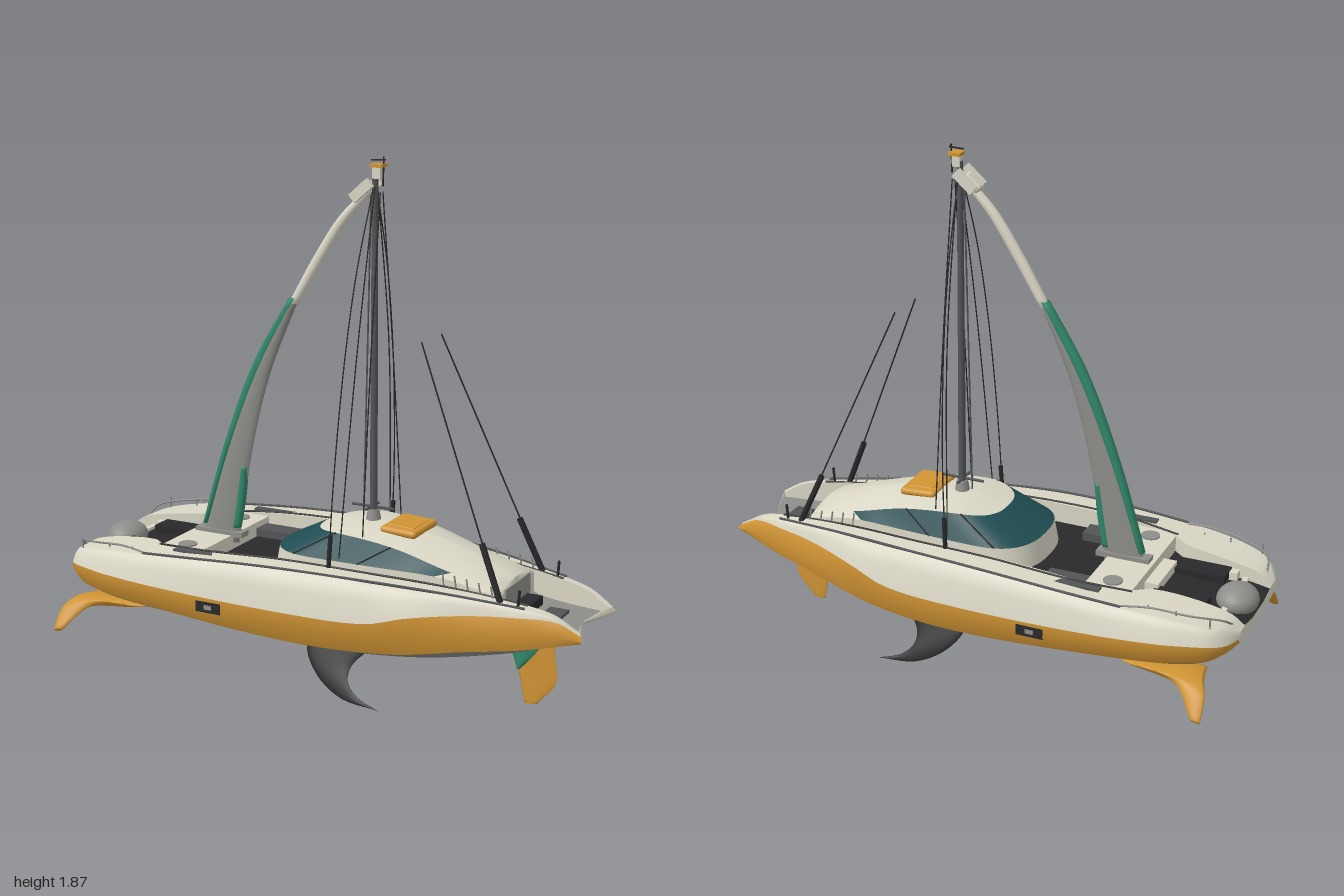
import * as THREE from 'three';
import { RoundedBoxGeometry } from 'three/addons/geometries/RoundedBoxGeometry.js';

const V = (x, y, z) => new THREE.Vector3(x, y, z);
const mix = (a, b, t) => a + (b - a) * t;

// smooth curve through flat (x, value) pairs
const curve = (...p) => (x) => {
  const n = p.length / 2, X = (i) => p[2 * i], Y = (i) => p[2 * i + 1];
  let i = 0;
  while (i < n - 2 && x > X(i + 1)) i++;
  const slope = (k) => {
    const a = Math.max(k - 1, 0), b = Math.min(k + 1, n - 1);
    return (Y(b) - Y(a)) / (X(b) - X(a));
  };
  const h = X(i + 1) - X(i), t = THREE.MathUtils.clamp((x - X(i)) / h, 0, 1), s = 1 - t;
  return Y(i) * s * s * (1 + 2 * t) + Y(i + 1) * t * t * (3 - 2 * t)
    + h * (slope(i) * t * s * s - slope(i + 1) * t * t * s);
};

// smooth sheet through rows of points
function sheet(rows) {
  const m = rows[0].length, index = [];
  for (let i = 0; i < rows.length - 1; i++) for (let j = 0; j < m - 1; j++) {
    const a = i * m + j, b = a + m;
    index.push(a, b, a + 1, b, b + 1, a + 1);
  }
  const g = new THREE.BufferGeometry().setFromPoints(rows.flat());
  g.setIndex(index);
  g.computeVertexNormals();
  return g;
}

// oval-section blade between a leading and a trailing edge, thinning towards the end
function blade(lead, trail, thick, taper = 0, n = 20) {
  const A = new THREE.CatmullRomCurve3(lead.map((p) => V(...p)));
  const B = new THREE.CatmullRomCurve3(trail.map((p) => V(...p)));
  const rows = [];
  for (let i = 0; i <= n; i++) {
    const a = A.getPoint(i / n), b = B.getPoint(i / n), row = [];
    const c = a.clone().lerp(b, 0.5), u = b.clone().sub(c);
    for (let k = 0; k <= 16; k++) {
      const q = k / 16 * Math.PI * 2;
      row.push(c.clone().addScaledVector(u, Math.cos(q)).addScaledVector(thick, Math.sin(q) * (1 - taper * i / n)));
    }
    rows.push(row);
  }
  rows.unshift(rows[0].map(() => A.getPoint(0).lerp(B.getPoint(0), 0.5)));
  rows.push(rows[n].map(() => A.getPoint(1).lerp(B.getPoint(1), 0.5)));
  return sheet(rows);
}

export function createModel() {
  const boat = new THREE.Group();
  const mat = {};
  for (const [name, color] of Object.entries({ cream: 0xd9d6c5, orange: 0xd09434, black: 0x29292b,
    grey: 0x8d8d89, glassTeal: 0x1f4d52, green: 0x31866a, darkGrey: 0x525456 })) {
    mat[name] = new THREE.MeshStandardMaterial({ color, side: THREE.DoubleSide });
    mat[name].name = name;
  }
  const add = (name, geo, m, x = 0, y = 0, z = 0) => {
    const mesh = new THREE.Mesh(geo, mat[m]);
    mesh.name = name;
    mesh.position.set(x, y, z);
    boat.add(mesh);
    return mesh;
  };
  const box = (name, m, w, h, d, x, y, z) => add(name, new THREE.BoxGeometry(w, h, d), m, x, y, z);
  const rod = (name, m, r, ...pts) => add(name, new THREE.TubeGeometry(
    new THREE.CatmullRomCurve3(pts.map((p) => V(...p))), pts.length > 2 ? 24 : 1, r, 6), m);
  const ramp = THREE.MathUtils.smoothstep;

  // hull lines: half widths and heights along the length
  const beam = curve(-1, .22, -.98, .28, -.95, .32, -.9, .35, -.75, .39, -.5, .41, -.2, .41, .1, .39, .4, .335, .7, .255, 1, .175);
  const rail = curve(-1, .2, -.95, .28, -.9, .31, -.75, .345, -.4, .365, 0, .345, .4, .28, .7, .215, 1, .158);
  const well = curve(-1, .16, -.68, .18, -.58, .25, -.2, .252, .1, .24, .5, .186, .7, .165, 1, .14);
  const keel = curve(-1, .31, -.95, .26, -.87, .205, -.5, .175, 0, .155, .3, .16, .5, .185, .7, .228, .85, .268, 1, .318);
  const chine = curve(-1, .32, -.87, .255, -.5, .232, 0, .202, .4, .207, .7, .248, 1, .32);
  const bandLow = curve(-1, .325, -.9, .285, -.5, .257, 0, .225, .35, .225, .6, .258, .8, .283, 1, .322);
  const bandTop = curve(-1, .345, -.9, .357, -.5, .35, 0, .338, .28, .335, .42, .368, .6, .388, .8, .395, .92, .387, 1, .348);
  const sheer = curve(-1, .365, -.95, .40, -.8, .43, -.6, .448, -.2, .472, .1, .472, .4, .455, .6, .443, .8, .42, .92, .397, 1, .352);
  const floor = curve(-1, .35, -.9, .365, -.6, .39, .4, .41, .62, .40, .7, .352, 1, .335);

  const section = (x, s) => {
    const b = beam(x), d = rail(x), c = well(x), k = keel(x), g = chine(x), lo = bandLow(x), t = bandTop(x), y = sheer(x);
    const tuck = .5 * ramp(x, .35, .7) + .4 * ramp(x, .75, .97);
    return [[0, k], [.3 * b, mix(k, g, .1)], [.58 * b, mix(k, g, .4)], [.8 * b, g], [.93 * b, lo], [b, mix(lo, t, .55)], [mix(b, d, tuck), t],
      [mix(b, d, mix(tuck, 1, .35)), mix(t, y, .6)], [mix(b, d, mix(tuck, 1, .7)), mix(t, y, .9)], [d, y], [c, y + .004], [c, floor(x)], [0, floor(x)]]
      .map(([z, h]) => V(x - .07 * (1 - Math.min(1, z / b) ** 2) * ramp(x, .75, 1), h, z * s));
  };
  const N = 60, xs = Array.from({ length: N + 1 }, (_, i) => -Math.cos(Math.PI * i / N));
  const split = xs.findIndex((x) => x > .66);
  for (const s of [1, -1]) {
    const rows = xs.map((x) => section(x, s));
    const strip = (name, m, a, b, from = 0, to = N) =>
      add(name, sheet(rows.slice(from, to + 1).map((r) => r.slice(a, b + 1))), m);
    strip('hullBottom', 'black', 0, 3, 0, N - 11);
    strip('bowBottom', 'cream', 0, 3, N - 11, N);
    strip('chineStrip', 'grey', 3, 4);
    strip('hullBand', 'orange', 4, 6);
    strip('topside', 'cream', 6, 9);
    strip('sideDeck', 'cream', 9, 10);
    strip('wellWall', 'cream', 10, 11);
    strip('cockpitFloor', 'black', 11, 12, 0, split);
    strip('bowFloor', 'grey', 11, 12, split, N);
    for (const i of [0, N]) {
      add('hullEnd', sheet([rows[i], rows[i].map(() => V(rows[i][0].x, .335, 0))]), 'cream');
    }
    // gunwale track and hull window
    const at = (f, dy) => [-.62, -.4, -.1, .2, .5, .8].map((x) => [x, sheer(x) + dy, s * f(x)]);
    rod('gunwaleTrack', 'darkGrey', .005, ...at((x) => rail(x) - .004, .003));
    rod('innerTrack', 'black', .004, ...at((x) => mix(rail(x), well(x), .9), .006));
    box('hullWindow', 'black', .1, .04, .008, -.31, .312, s * .409);
    box('hullWindowPane', 'grey', .03, .016, .009, -.31, .312, s * .411);
  }

  // cabin: rings from deck to roof ridge
  const outline = (nose, w, w1, end, y) => {
    const pts = [];
    for (let i = 0; i <= 14; i++) {
      const q = i / 14 * Math.PI / 2;
      pts.push([nose + .2 * (1 - Math.cos(q) ** .8), w * Math.sin(q) ** .75]);
    }
    for (let i = 1; i <= 12; i++) pts.push([mix(nose + .2, end, i / 12), mix(w, w1, (i / 12) ** 1.6)]);
    pts.push([end, 0]);
    return pts.map(([x, z]) => V(x, y(x), z));
  };
  const sill = curve(-.2, .487, .3, .485, .5, .478, .69, .435);
  const eave = curve(-.05, .563, .1, .573, .3, .55, .48, .5, .69, .445);
  const ridge = curve(-.05, .565, .1, .592, .3, .583, .5, .535, .69, .465);
  const rings = [outline(-.225, .22, .165, .69, () => .345), outline(-.2, .21, .16, .69, sill), outline(-.05, .165, .135, .688, eave)];
  for (const f of [.7, .35, 0]) {
    rings.push(rings[2].map((p) => V(p.x, mix(ridge(p.x), eave(p.x), f * f), p.z * f)));
  }
  for (const s of [1, -1]) {
    const R = rings.map((r) => r.map((p) => V(p.x, p.y, p.z * s)));
    const cut = 22;
    add('cabinWall', sheet(R.slice(0, 2)), 'cream');
    add('cabinWindows', sheet(R.slice(1, 3).map((r) => r.slice(0, cut + 1))), 'glassTeal');
    add('cabinShoulder', sheet(R.slice(1, 3).map((r) => r.slice(cut))), 'cream');
    add('cabinRoof', sheet(R.slice(2)), 'cream');
    for (const i of [11, 17]) rod('windowPillar', 'black', .003, R[1][i].toArray(), R[2][i].toArray());
  }
  box('cabinEndPanel', 'grey', .006, .075, .22, .694, .41, 0);

  // roof hatch
  add('roofHatch', new RoundedBoxGeometry(.14, .028, .19, 4, .0139), 'orange', .275, .585, 0).rotation.z = -.05;
  add('hatchLid', new RoundedBoxGeometry(.1, .01, .13, 2, .0045), 'orange', .275, .597, 0).rotation.z = -.05;

  // mast, spreaders and masthead
  add('mast', new THREE.CylinderGeometry(.011, .014, 1.25, 12), 'darkGrey', .135, 1.2, 0);
  add('mastCollar', new THREE.CylinderGeometry(.02, .03, .05, 12), 'grey', .135, .605, 0);
  rod('spreaderLong', 'darkGrey', .005, [.05, .638, 0], [.215, .638, 0]);
  rod('spreaderCross', 'darkGrey', .005, [.13, .638, -.05], [.13, .638, .05]);
  box('mastCap', 'cream', .03, .05, .025, .145, 1.83, 0);
  rod('antenna', 'black', .003, [.165, 1.78, 0], [.168, 1.88, 0]);
  rod('windVane', 'black', .003, [.12, 1.868, 0], [.175, 1.87, 0]);
  box('mastLamp', 'orange', .045, .012, .045, .148, 1.85, 0);
  add('mastheadShell', new RoundedBoxGeometry(.075, .032, .05, 3, .012), 'cream', .085, 1.755, 0).rotation.z = .72;
  for (const s of [1, -1]) {
    box('mastheadCheek', 'cream', .09, .036, .018, .1, 1.765, s * .036).rotation.z = .72;
    // shrouds with turnbuckles, and forward stays
    rod('outerShroud', 'black', .0025, [.135, 1.77, s * .015], [.125, 1.5, s * .115], [.115, 1.2, s * .185], [.1, .8, s * .235], [.085, .46, s * .25]);
    rod('middleShroud', 'black', .0025, [.14, 1.78, s * .01], [.13, 1.2, s * .125], [.1, .46, s * .205]);
    rod('innerShroud', 'black', .0025, [.16, 1.76, s * .01], [.165, 1.2, s * .085], [.17, .5, s * .16]);
    rod('shroudTurnbuckle', 'black', .008, [.085, .46, s * .25], [.092, .59, s * .245]);
    rod('forwardStay', 'black', .0028, [.355, 1.27, s * .08], [.71, .43, s * .19]);
    rod('stayTurnbuckle', 'black', .011, [.628, .62, s * .165], [.71, .43, s * .19]);
  }
  rod('halyard', 'darkGrey', .003, [.12, 1.75, 0], [.095, .6, 0]);

  // curved wing arm rising from the cockpit to the masthead
  add('wingArm', blade([[-.585, .42, 0], [-.475, .8, 0], [-.345, 1.12, 0], [-.2, 1.36, 0]],
    [[-.425, .42, 0], [-.365, .78, 0], [-.285, 1.08, 0], [-.168, 1.36, 0]], V(0, 0, .018)), 'grey');
  add('wingArmTop', blade([[-.205, 1.345, 0], [-.1, 1.525, 0], [0, 1.67, 0], [.12, 1.785, 0]],
    [[-.165, 1.345, 0], [-.06, 1.515, 0], [.03, 1.65, 0], [.13, 1.76, 0]], V(0, 0, .017)), 'cream');
  add('wingLeadingEdge', blade([[-.577, .48, 0], [-.479, .8, 0], [-.35, 1.12, 0], [-.203, 1.365, 0]],
    [[-.555, .48, 0], [-.444, .8, 0], [-.302, 1.12, 0], [-.165, 1.365, 0]], V(0, 0, .019)), 'green');
  add('wingTrailingPatch', blade([[-.45, .48, 0], [-.43, .6, 0], [-.41, .72, 0]],
    [[-.416, .48, 0], [-.394, .6, 0], [-.382, .72, 0]], V(0, 0, .017)), 'green');

  // rudder, keel fins and aft foils
  add('rudder', blade([[.66, .29, 0], [.68, .2, 0], [.705, .12, 0], [.73, .006, 0]],
    [[.83, .29, 0], [.84, .2, 0], [.846, .1, 0], [.775, .008, 0]], V(0, 0, .01), .6), 'orange');
  add('rudderRoot', blade([[.655, .29, 0], [.674, .2, 0], [.7, .13, 0]],
    [[.845, .29, 0], [.795, .215, 0], [.712, .13, 0]], V(0, 0, .013)), 'green');
  for (const s of [1, -1]) {
    add('keelFin', blade([[-.01, .21, s * .24], [.02, .14, s * .275], [.085, .075, s * .305], [.18, .03, s * .325], [.318, .018, s * .333]],
      [[.26, .21, s * .24], [.192, .14, s * .275], [.19, .09, s * .302], [.235, .047, s * .32], [.324, .016, s * .333]],
      V(0, .003, s * .011), .8), 'black');
    add('aftFoil', blade([[-.9, .225, s * .24], [-.925, .235, s * .35], [-.946, .205, s * .405], [-.95, .135, s * .458]],
      [[-.6, .235, s * .26], [-.63, .242, s * .345], [-.83, .225, s * .385], [-.915, .14, s * .455]], V(0, .018, s * .012), .6), 'orange');
  }

  // cockpit fittings
  add('sternDome', new THREE.SphereGeometry(.075, 24, 12).scale(1, .75, 1.15), 'grey', -.925, .375, 0);
  box('cockpitBridge', 'cream', .17, .06, .51, -.53, .42, 0);
  box('wingSocket', 'grey', .2, .02, .05, -.5, .455, 0);
  box('aftSill', 'cream', .02, .014, .34, -.905, .37, 0);
  box('aftBench', 'cream', .05, .04, .2, -.64, .4, 0);
  box('bowLocker', 'black', .06, .04, .17, .725, .358, 0);
  box('bowHatch', 'darkGrey', .07, .012, .11, .83, .348, 0);
  for (const s of [1, -1]) {
    add('bridgePad', new THREE.CylinderGeometry(.035, .035, .008, 16), 'grey', -.53, .451, s * .19);
    box('cockpitSeat', 'darkGrey', .16, .03, .08, -.36, .415, s * .19);
    box('aftLocker', 'black', .2, .03, .09, -.75, .39, s * .12);
    box('aftSeat', 'cream', .04, .03, .04, -.86, .385, s * .15);
    box('sideGrille', 'darkGrey', .18, .008, .03, -.43, sheer(-.43) + .003, s * .29);
    // guard rails
    rod('sternRail', 'grey', .004, [-.97, .385, s * .2], [-.95, .425, s * .26], [-.85, .445, s * .31], [-.72, .457, s * .33], [-.62, .45, s * .345]);
    for (const x of [-.92, -.8, -.7]) rod('sternRailPost', 'grey', .003, [x, .4, s * .3], [x, .447, s * .3]);
    for (let x = .5; x < .7; x += .045) rod('bowPost', 'grey', .003, [x, .43, s * .18], [x - .01, .5 - (x - .5) * .12, s * .18]);
    rod('bowCleat', 'black', .005, [.77, .41, s * .18], [.775, .48, s * .18]);
  }
  return boat;
}
